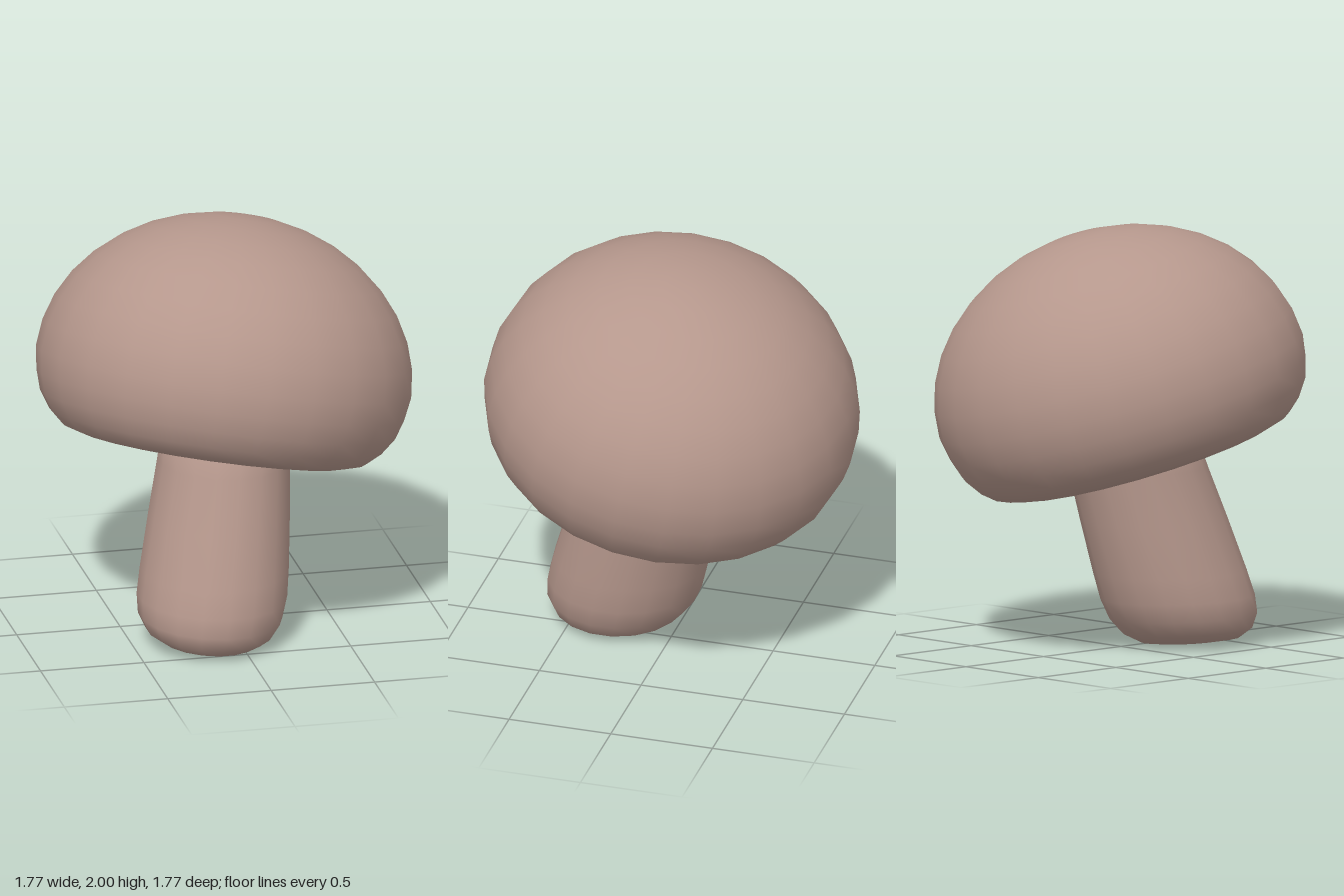
import * as THREE from 'three';
import { mergeVertices } from 'three/addons/utils/BufferGeometryUtils.js';

// Lathe with welded seam, optionally reshaped by a rule, with smooth normals
function smoothLathe(profile, segments, rule) {
  let g = new THREE.LatheGeometry(profile.map(([r, y]) => new THREE.Vector2(r, y)), segments);
  g.deleteAttribute('uv');
  g.deleteAttribute('normal');
  const p = g.attributes.position;
  const v = new THREE.Vector3();
  if (rule) {
    for (let i = 0; i < p.count; i++) {
      rule(v.fromBufferAttribute(p, i));
      p.setXYZ(i, v.x, v.y, v.z);
    }
  }
  g = mergeVertices(g, 1e-4);
  g.computeVertexNormals();
  return g;
}

export function createModel() {
  const model = new THREE.Group();
  model.name = 'mushroom';
  const skin = new THREE.MeshStandardMaterial({ color: 0xb5978c });
  skin.name = 'dusty pink brown';

  // Cap: slightly hollow underside, rolled rim, half-ellipsoid dome
  const capProfile = [
    [0, -0.2], [0.3, -0.21], [0.46, -0.26], [0.56, -0.335], [0.65, -0.362],
    [0.73, -0.338], [0.79, -0.285], [0.845, -0.205], [0.875, -0.11],
  ];
  const steps = 9;
  for (let i = 0; i <= steps; i++) {
    const a = (i / steps) * Math.PI / 2;
    capProfile.push([i === steps ? 0 : 0.893 * Math.cos(a), 0.75 * Math.sin(a)]);
  }
  const cap = new THREE.Mesh(smoothLathe(capProfile, 24), skin);
  cap.name = 'cap';
  cap.position.set(0, 1.24, 0);
  cap.quaternion.setFromUnitVectors(
    new THREE.Vector3(0, 1, 0),
    new THREE.Vector3(0.19, 0.959, -0.21).normalize()
  );
  model.add(cap);

  // Stem: rounded foot, tapering upward and leaning into the cap
  const stemProfile = [
    [0, 0.02], [0.4, 0.02], [0.65, 0.03], [0.84, 0.07], [0.96, 0.14], [1, 0.23],
    [0.99, 0.35], [0.94, 0.6], [0.88, 0.85], [0.85, 1.12], [0, 1.12],
  ];
  const stem = new THREE.Mesh(smoothLathe(stemProfile, 18, (v) => {
    const y = v.y;
    const foot = Math.max(0, 1 - y / 0.4);
    const dx = v.x * 0.355;
    const dz = v.z * (0.365 + 0.03 * y);
    v.set(-0.12 + 0.155 * (y - 0.2) + dx, y - 0.08 * foot * dx, 0.265 - 0.27 * (y - 0.2) + dz);
    v.y = Math.max(0, v.y - 0.012 * foot);
  }), skin);
  stem.name = 'stem';
  model.add(stem);

  return model;
}
